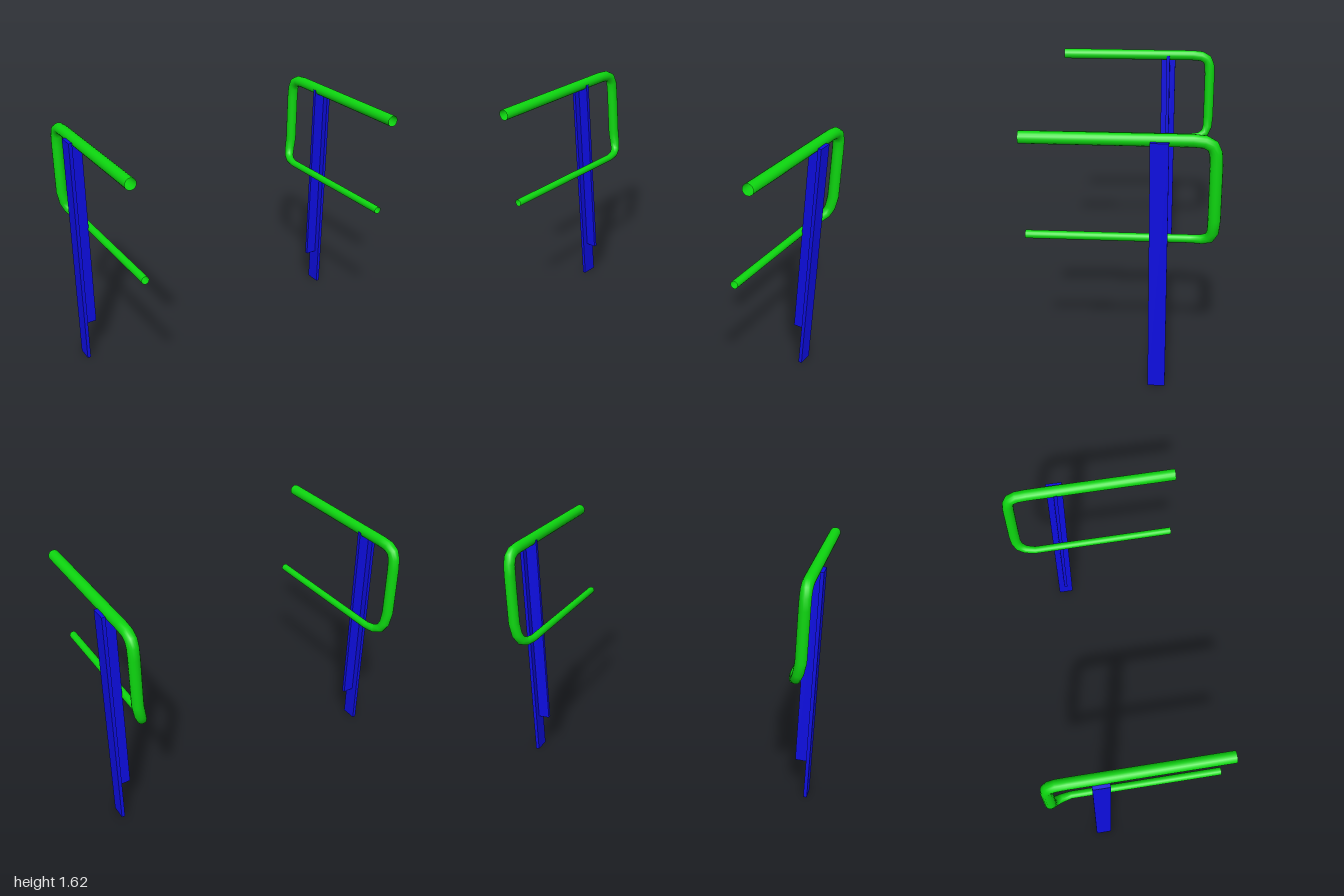
import * as THREE from 'three';

const SIDES = 16;

// Centre line of one handrail: x, y, z, tube radius
const RAIL = [
  [0.94, 1.583, 0.567, 0.037],
  [0.94, 1.583, -0.40, 0.037],
  [0.94, 1.577, -0.465, 0.037],
  [0.94, 1.554, -0.507, 0.037],
  [0.94, 1.51, -0.525, 0.037],
  [0.94, 1.44, -0.53, 0.037],
  [0.94, 1.11, -0.53, 0.037],
  [0.928, 1.03, -0.526, 0.035],
  [0.911, 0.983, -0.507, 0.032],
  [0.893, 0.962, -0.465, 0.028],
  [0.88, 0.957, -0.40, 0.025],
  [0.88, 0.957, 0.567, 0.025],
];

// Open tube whose radius varies along the path
function sweepTube(path, side) {
  const points = path.map(([x, y, z]) => new THREE.Vector3(x * side, y, z));
  const positions = [];
  const indices = [];
  const last = points.length - 1;
  points.forEach((p, i) => {
    const before = p.clone().sub(points[Math.max(i - 1, 0)]).normalize();
    const after = points[Math.min(i + 1, last)].clone().sub(p).normalize();
    const t = before.add(after).normalize();
    const u = new THREE.Vector3(1, 0, 0).addScaledVector(t, -t.x).normalize();
    const v = new THREE.Vector3().crossVectors(t, u);
    for (let j = 0; j < SIDES; j++) {
      const a = (j / SIDES) * Math.PI * 2;
      const q = p.clone()
        .addScaledVector(u, Math.cos(a) * path[i][3])
        .addScaledVector(v, Math.sin(a) * path[i][3]);
      positions.push(q.x, q.y, q.z);
      if (i < last) {
        const k = (j + 1) % SIDES;
        const r0 = i * SIDES, r1 = r0 + SIDES;
        indices.push(r0 + j, r0 + k, r1 + j, r0 + k, r1 + k, r1 + j);
      }
    }
  });
  const geometry = new THREE.BufferGeometry();
  geometry.setAttribute('position', new THREE.Float32BufferAttribute(positions, 3));
  geometry.setIndex(indices);
  geometry.computeVertexNormals();
  return geometry;
}

export function createModel() {
  const model = new THREE.Group();
  model.name = 'handrails';

  const green = new THREE.MeshStandardMaterial({ color: 0x0dd60f, side: THREE.DoubleSide });
  green.name = 'railGreen';
  const blue = new THREE.MeshStandardMaterial({ color: 0x0d0de0 });
  blue.name = 'postBlue';

  // Box given by its lower and upper corners, mirrored in x by side
  function box(name, side, lo, hi) {
    const mesh = new THREE.Mesh(
      new THREE.BoxGeometry(hi[0] - lo[0], hi[1] - lo[1], hi[2] - lo[2]), blue);
    mesh.name = name;
    mesh.position.set(side * (lo[0] + hi[0]) / 2, (lo[1] + hi[1]) / 2, (lo[2] + hi[2]) / 2);
    return mesh;
  }

  for (const side of [1, -1]) {
    const prefix = side > 0 ? 'left' : 'right';

    // T-section post: broad outer plate and thin inner web
    const post = new THREE.Group();
    post.name = prefix + 'Post';
    post.add(
      box('outerPlate', side, [0.977, 0, -0.268], [1.0, 1.583, -0.163]),
      box('innerWeb', side, [0.9, 0.253, -0.227], [0.977, 1.583, -0.204]));
    model.add(post);

    // Looped rail, thick above and slimmer below
    const rail = new THREE.Mesh(sweepTube(RAIL, side), green);
    rail.name = prefix + 'Rail';
    model.add(rail);
  }
  return model;
}
